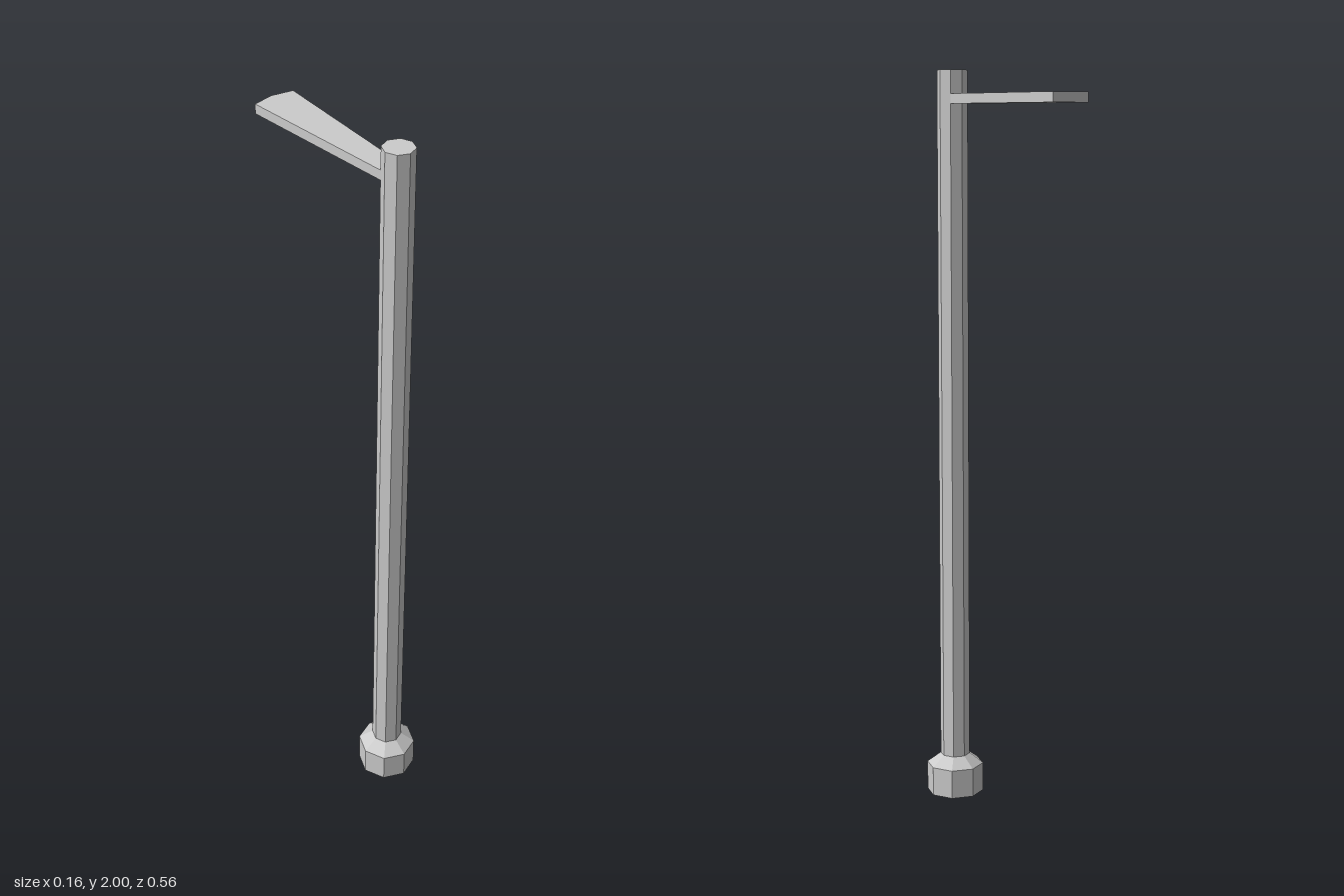
import * as THREE from 'three';

const POLE_Z = 0.201;

export function createModel() {
  const model = new THREE.Group();
  const grey = new THREE.MeshStandardMaterial({ color: 0xcccccc, flatShading: true });

  function addPart(name, geometry, y, z) {
    const mesh = new THREE.Mesh(geometry, grey);
    mesh.name = name;
    mesh.position.set(0, y, z);
    model.add(mesh);
  }

  // Octagonal post: wide foot, sloped collar and straight shaft in one profile
  const profile = [
    [0, 0], [0.079, 0], [0.079, 0.08], [0.041, 0.108], [0.041, 2], [0, 2],
  ].map(([r, y]) => new THREE.Vector2(r, y));
  addPart('post', new THREE.LatheGeometry(profile, 8), 0, POLE_Z);

  // Flat arm that widens away from the post and ends in a shallow point
  const outline = new THREE.Shape([
    [-0.029, -0.172], [0.029, -0.172], [0.058, 0.271], [0, 0.282], [-0.058, 0.271],
  ].map(([x, y]) => new THREE.Vector2(x, y)));
  const arm = new THREE.ExtrudeGeometry(outline, { depth: 0.026, bevelEnabled: false });
  arm.rotateX(-Math.PI / 2);
  addPart('arm', arm, 1.912, 0);

  return model;
}
